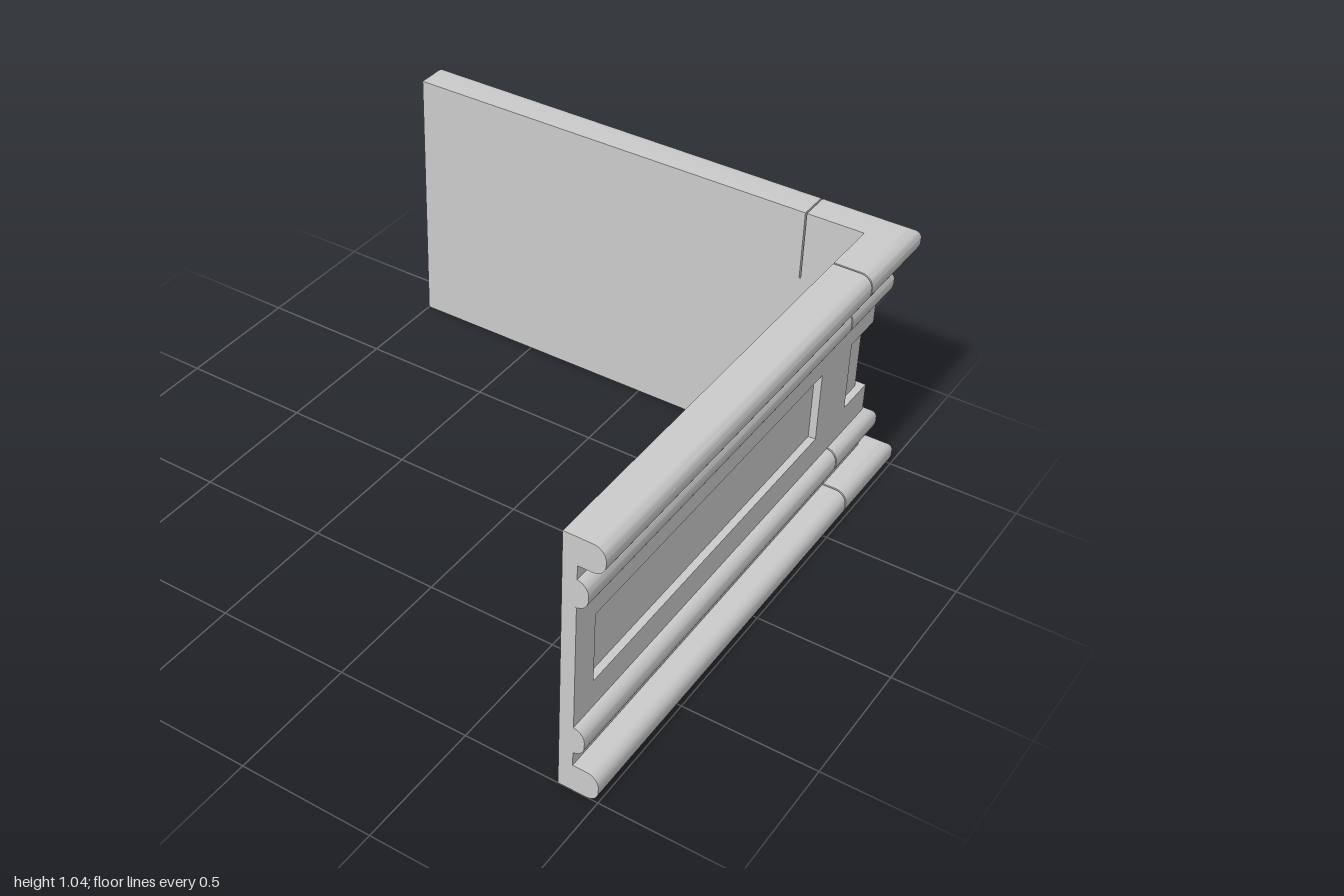
import * as THREE from 'three';
import { toCreasedNormals } from 'three/addons/utils/BufferGeometryUtils.js';

const INNER = 0.853, FACE = 0.905, PANEL = 0.877, SEAM = 0.632;
const material = new THREE.MeshStandardMaterial({ color: 0xcccccc });

// Profiles: points are (distance outwards, height), counter-clockwise
const block = (y0, y1, out) => [[INNER, y0], [out, y0], [out, y1], [INNER, y1]]
  .map(([d, y]) => new THREE.Vector2(d, y));

function roundedRail(y0, y1, out, r = 0.045) {
  const pts = [new THREE.Vector2(INNER, y0)];
  const n = 8;
  for (const [cy, start] of [[y0 + r, -Math.PI / 2], [y1 - r, 0]])
    for (let i = 0; i <= n; i++) {
      const a = start + (i / n) * Math.PI / 2;
      pts.push(new THREE.Vector2(out - r + r * Math.cos(a), cy + r * Math.sin(a)));
    }
  pts.push(new THREE.Vector2(INNER, y1));
  return pts;
}

// Stations place a profile point at distance d on the plan
const onBack = x => d => [x, -d];
const onSide = z => d => [d, z];
const mitre = d => [d, -d];

// Sweep a profile through the stations and cap both ends
function sweep(profile, stations) {
  const pos = [], idx = [], n = profile.length;
  for (const s of stations)
    for (const p of profile) {
      const [x, z] = s(p.x);
      pos.push(x, p.y, z);
    }
  const last = (stations.length - 1) * n;
  for (let i = 0; i < last; i += n)
    for (let j = 0; j < n; j++) {
      const k = (j + 1) % n;
      idx.push(i + j, i + k, i + n + k, i + j, i + n + k, i + n + j);
    }
  for (const [a, b, c] of THREE.ShapeUtils.triangulateShape(profile, []))
    idx.push(a, c, b, last + a, last + b, last + c);
  const g = new THREE.BufferGeometry();
  g.setAttribute('position', new THREE.Float32BufferAttribute(pos, 3));
  g.setIndex(idx);
  return toCreasedNormals(g, 0.6);
}

export function createModel() {
  const model = new THREE.Group();
  const sections = {};
  for (const name of ['backWall', 'cornerPiece', 'sideWall']) {
    sections[name] = new THREE.Group();
    sections[name].name = name;
    model.add(sections[name]);
  }
  const add = (section, name, profile, stations) => {
    const mesh = new THREE.Mesh(sweep(profile, stations), material);
    mesh.name = name;
    sections[section].add(mesh);
  };

  // One profile along both walls and round the corner, with narrow seams
  const run = (name, profile, gap = 0) => {
    const a = SEAM - gap, b = SEAM + gap;
    add('backWall', name, profile, [onBack(-1), onBack(a)]);
    add('cornerPiece', name, profile, [onBack(b), mitre, onSide(-b)]);
    add('sideWall', name, profile, [onSide(-a), onSide(1)]);
  };

  // Mouldings and the flat bands between them
  run('baseRail', roundedRail(0, 0.11, 1), 0.003);
  run('lowerBand', block(0.11, 0.166, FACE), 0.003);
  run('lowerRail', roundedRail(0.166, 0.275, 0.945), 0.003);
  run('upperRail', roundedRail(0.768, 0.877, 0.945), 0.003);
  run('upperBand', block(0.877, 0.93, FACE), 0.003);
  run('topRail', roundedRail(0.93, 1.037, 1), 0.003);

  // Recessed panel with its frame
  run('panel', block(0.385, 0.66, PANEL));
  run('frameBottom', block(0.275, 0.385, FACE));
  run('frameTop', block(0.66, 0.768, FACE));

  // Upright stiles, mirrored from the back wall to the side wall
  const stile = block(0.385, 0.66, FACE);
  for (const [from, to, back, side, name] of [
    [-1, -0.893, 'backWall', 'sideWall', 'endStile'],
    [0.525, SEAM, 'backWall', 'sideWall', 'innerStile'],
    [SEAM, 0.74, 'cornerPiece', 'cornerPiece', 'cornerStile'],
  ]) {
    add(back, name, stile, [onBack(from), onBack(to)]);
    add(side, name, stile, [onSide(-to), onSide(-from)]);
  }
  return model;
}
